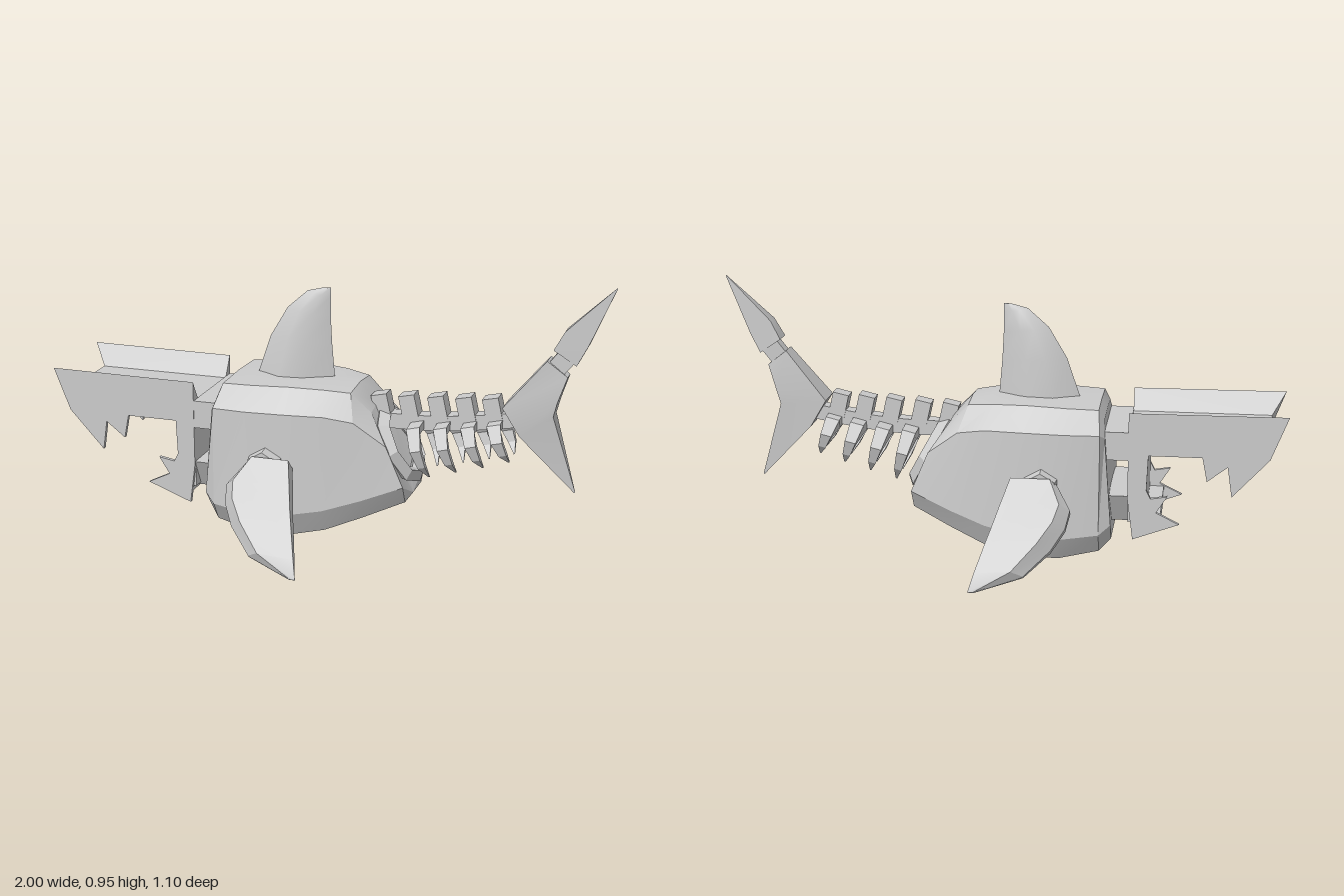
import * as THREE from 'three';
import { toCreasedNormals } from 'three/addons/utils/BufferGeometryUtils.js';

const flat = new THREE.MeshStandardMaterial({ color: 0xcccccc, flatShading: true });
const smooth = new THREE.MeshStandardMaterial({ color: 0xcccccc });

// Skin a row of equal-length closed rings, cap both ends, face outwards
function loft(rings) {
  const tris = [];
  const n = rings[0].length;
  for (let i = 0; i + 1 < rings.length; i++) {
    for (let j = 0; j < n; j++) {
      const k = (j + 1) % n, a = rings[i], b = rings[i + 1];
      tris.push([a[j], a[k], b[k]], [a[j], b[k], b[j]]);
    }
  }
  const first = rings[0], last = rings[rings.length - 1];
  for (let j = 1; j + 1 < n; j++) {
    tris.push([first[0], first[j + 1], first[j]], [last[0], last[j], last[j + 1]]);
  }
  let volume = 0;
  const V = (p) => new THREE.Vector3(...p);
  for (const [a, b, c] of tris) volume += V(a).dot(V(b).cross(V(c)));
  if (volume < 0) tris.forEach((t) => t.reverse());
  const g = new THREE.BufferGeometry();
  g.setAttribute('position', new THREE.Float32BufferAttribute(tris.flat(2), 3));
  g.computeVertexNormals();
  return g;
}

// Blade in the xy plane from rows of [leadX, leadY, trailX, trailY, halfThickness];
// section lists [position from lead to trail, thickness factor] round the blade
const blade = (rows, section) => toCreasedNormals(loft(rows.map(([lx, ly, tx, ty, w]) =>
  section.map(([t, s]) => [lx + (tx - lx) * t, ly + (ty - ly) * t, w * s]))), .7);
const lens = [[0, 0], [.32, 1], [.62, 1], [1, 0], [.62, -1], [.32, -1]];
const slab = [[0, 1], [1, .65], [1, -.65], [0, -1]];

export function createModel() {
  const model = new THREE.Group();
  const add = (name, geo, parent = model, mat = flat) => {
    const m = new THREE.Mesh(geo, mat);
    m.name = name;
    parent.add(m);
    return m;
  };
  const box = (name, x0, x1, y0, y1, hz) => {
    const m = add(name, new THREE.BoxGeometry(x1 - x0, y1 - y0, hz * 2));
    m.position.set((x0 + x1) / 2, (y0 + y1) / 2, 0);
  };

  // Body: half sections [x, y, z] from bottom centre round to top centre
  const sections = [
    [[-.4, .08, 0], [-.4, .085, .165], [-.4, .15, .215], [-.375, .46, .205], [-.37, .51, .14], [-.37, .515, 0]],
    [[-.35, .035, 0], [-.36, .05, .2], [-.36, .12, .243], [-.36, .475, .235], [-.35, .545, .155], [-.35, .55, 0]],
    [[-.23, .007, 0], [-.22, .02, .212], [-.23, .105, .26], [-.24, .477, .247], [-.24, .55, .165], [-.24, .556, 0]],
    [[-.1, .003, 0], [-.1, .02, .21], [-.1, .11, .255], [-.1, .478, .24], [-.1, .555, .16], [-.1, .56, 0]],
    [[.04, .04, 0], [.04, .05, .19], [.04, .135, .232], [.04, .475, .215], [.02, .55, .14], [.02, .56, 0]],
    [[.17, .095, 0], [.17, .1, .155], [.17, .175, .197], [.14, .455, .185], [.11, .54, .115], [.11, .55, 0]],
    [[.31, .155, 0], [.31, .157, .11], [.312, .225, .152], [.25, .37, .155], [.18, .47, .095], [.175, .48, 0]],
  ];
  const rings = sections.map((s) => [...s, ...s.slice(1, 5).reverse().map(([x, y, z]) => [x, y, -z])]);
  add('body', toCreasedNormals(loft(rings), 0.4), model, smooth);

  // Raised octagonal collar where the spine leaves the body
  const collar = add('tailCollar', new THREE.TorusGeometry(.125, .03, 4, 8));
  collar.rotation.set(0, Math.PI / 2, Math.PI / 8, 'ZYX');
  collar.rotation.z = .5;
  collar.position.set(.26, .335, 0);

  // Head: toothed side plates whose top edge slopes inwards to a sunken roof
  const profile = [
    [-1, .548], [-.94, .395], [-.813, .257], [-.797, .364], [-.727, .31], [-.71, .395], [-.525, .395],
    [-.52, .27], [-.535, .24], [-.593, .25], [-.555, .19], [-.636, .15], [-.475, .09], [-.455, .235], [-.455, .545],
  ];
  const plate = new THREE.ExtrudeGeometry(new THREE.Shape(profile.map((p) => new THREE.Vector2(...p))),
    { depth: .045, bevelEnabled: false });
  const pos = plate.attributes.position;
  for (let i = 0; i < pos.count; i++) {
    if (pos.getZ(i) > .01) continue;
    if (pos.getY(i) > .5) {
      pos.setY(i, .47);
      if (pos.getX(i) < -.9) pos.setX(i, -.95);
    } else pos.setZ(i, .03);
  }
  plate.translate(0, 0, .135);
  add('leftJawPlate', plate);
  add('rightJawPlate', plate).scale.z = -1;
  box('headRoof', -.95, -.455, .44, .47, .137);
  box('throatWall', -.519, -.456, .15, .45, .167);
  box('lowerJawFloor', -.57, -.47, .13, .18, .167);
  box('upperNeck', -.456, -.37, .375, .475, .178);
  add('lowerNeck', loft([-.475, -.38].map((x) =>
    [[x, .245, .175], [x, .14, .12], [x, .14, -.12], [x, .245, -.175]])));

  // Dorsal fin
  add('dorsalFin', blade([
    [-.28, .53, .018, .53, .055], [-.225, .69, .005, .68, .043], [-.16, .8, 0, .78, .028],
    [-.085, .866, 0, .85, .013], [-.03, .88, 0, .882, .002],
  ], lens), model, smooth);

  // Pectoral fins: rows of [leadX, trailX, y, z, halfThickness, leading bevel, lift of its top edge]
  const finRows = [
    [-.215, -.06, .31, .268, .032, .02, 0], [-.27, -.033, .24, .34, .027, .035, .01],
    [-.258, -.015, .19, .39, .023, .04, .018], [-.215, .008, .13, .445, .019, .045, .02],
    [-.13, .035, .058, .51, .011, .04, .015], [.03, .052, .008, .55, .001, .005, 0],
  ];
  const pectoral = toCreasedNormals(loft(finRows.map(([lx, tx, y, z, w, bevel, lift]) => {
    const d = w * .72, t = d + lift;
    return [[lx, y - d, z - d], [lx, y, z], [lx + bevel, y + t, z + t], [tx, y + d, z + d], [tx, y - d, z - d]];
  })), .4);
  for (const side of [1, -1]) {
    const fin = new THREE.Group();
    fin.name = side > 0 ? 'leftPectoral' : 'rightPectoral';
    fin.scale.z = side;
    model.add(fin);
    add('pectoralFin', pectoral, fin, smooth);
    const joint = add('shoulderJoint', new THREE.CylinderGeometry(.06, .07, .06, 6), fin);
    joint.rotation.x = Math.PI / 2;
    joint.position.set(-.16, .288, .255);
  }

  // Spine: square beam sagging slightly on its way to the tail
  const spineY = (x) => .425 + .22 * Math.max(0, x - .3) ** 1.6;
  add('spine', loft([.18, .3, .4, .5, .6, .7].map((x) => {
    const y = spineY(x), h = .027;
    return [[x, y - h, -h], [x, y - h, h], [x, y + h, h], [x, y + h, -h]];
  })));

  // Dorsal vertebra blocks
  [.195, .295, .4, .5, .595].forEach((x, i) => {
    const v = add('vertebra', new THREE.BoxGeometry(.058, .085, .06));
    v.position.set(x, .475 + i * .006, 0);
    v.rotation.z = .22;
  });

  // Ribs: tapered arcs leaning backwards, mirrored in pairs
  [[.315, .13, .175], [.41, .122, .155], [.505, .11, .14], [.595, .1, .125]].forEach(([x, w, drop]) => {
    const y = spineY(x) - .008;
    const path = [
      [0, 0, 1, 0, 1], [.7, -.03, 1, .4, .9], [1, -.38, .8, 1, .25], [.85, -.72, .55, 1, -.2], [.45, -1, .1, .7, -.7],
    ];
    const rib = loft(path.map(([pz, py, s, nz, ny]) => {
      const cx = x + .012 - py * .055, cy = y + py * drop, cz = pz * w;
      const hx = .024 * s, t = .016 * s;
      return [[-1, -1], [1, -1], [1, 1], [-1, 1]].map(([a, b]) =>
        [cx + a * hx, cy + b * t * ny + a * hx * .25, cz + (b - 1) * t * nz]);
    }));
    add('leftRib', rib);
    add('rightRib', rib).scale.z = -1;
  });

  // Tail fin in two slab-sided blades with a small link between them
  add('lowerTailFin', blade([
    [.885, .22, .889, .222, .001], [.695, .42, .807, .497, .047],
    [.635, .52, .82, .55, .057], [.78, .695, .85, .64, .036],
  ], slab), model, smooth);
  const link = add('tailLink', new THREE.BoxGeometry(.1, .065, .045));
  link.position.set(.828, .69, 0);
  link.rotation.z = .9;
  add('upperTailFin', blade([
    [.8, .735, .878, .682, .036], [.835, .8, .915, .755, .028], [.998, .957, 1, .955, .001],
  ], slab), model, smooth);
  return model;
}
